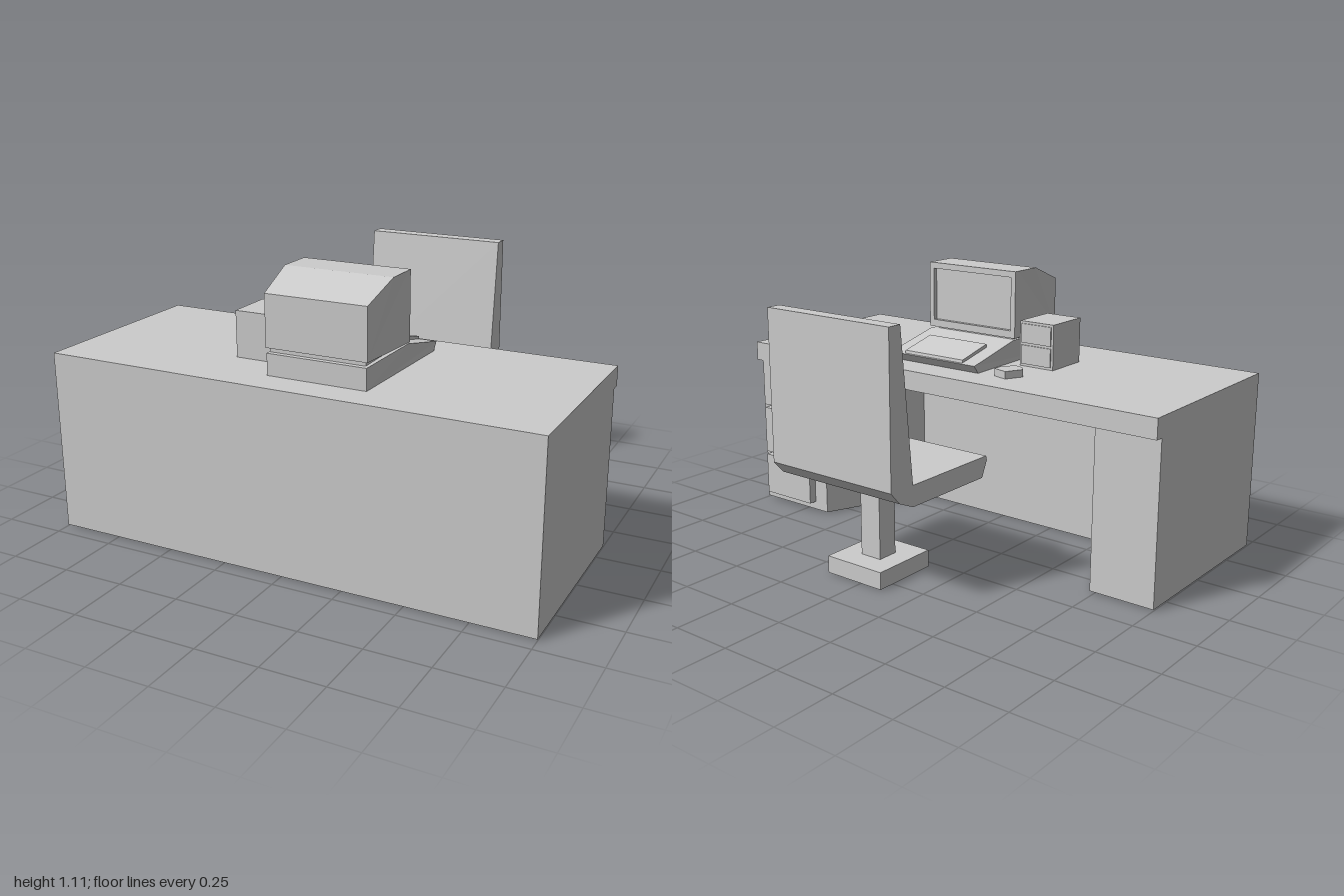
import * as THREE from 'three';

const material = new THREE.MeshStandardMaterial({ color: 0xcccccc, flatShading: true });
const group = new THREE.Group();

function add(parent, name, geometry) {
  const mesh = new THREE.Mesh(geometry, material);
  mesh.name = name;
  parent.add(mesh);
  return mesh;
}

// Box given by its extents
function box(parent, name, [x0, x1], [y0, y1], [z0, z1]) {
  const g = new THREE.BoxGeometry(x1 - x0, y1 - y0, z1 - z0);
  g.translate((x0 + x1) / 2, (y0 + y1) / 2, (z0 + z1) / 2);
  return add(parent, name, g);
}

const shapeOf = (points) => new THREE.Shape(points.map(([a, b]) => new THREE.Vector2(a, b)));

// Side profile of [z, y] points, extended across x
function profile(points, x0, x1) {
  const g = new THREE.ExtrudeGeometry(shapeOf(points), { depth: x1 - x0, bevelEnabled: false });
  return g.rotateY(-Math.PI / 2).translate(x1, 0, 0);
}

// Floor plan of [x, z] points, raised from y0 to y1
function plan(points, y0, y1) {
  const shape = shapeOf(points.map(([x, z]) => [x, -z]));
  const g = new THREE.ExtrudeGeometry(shape, { depth: y1 - y0, bevelEnabled: false });
  return g.rotateX(-Math.PI / 2).translate(0, y0, 0);
}

// Narrow a geometry about x = cx between z0 and z1
function taper(g, cx, z0, z1, amount) {
  const p = g.attributes.position;
  for (let i = 0; i < p.count; i++) {
    const t = THREE.MathUtils.clamp((p.getZ(i) - z0) / (z1 - z0), 0, 1);
    p.setX(i, cx + (p.getX(i) - cx) * (1 - amount * t));
  }
  g.computeVertexNormals();
  return g;
}

function buildDesk() {
  const desk = new THREE.Group();
  desk.name = 'desk';
  const low = 0.005, under = 0.655;
  box(desk, 'deskTop', [-1, 1], [under, 0.735], [-0.135, 0.69]);
  box(desk, 'frontPanel', [-1, 1], [low, under], [0.68, 0.69]);
  box(desk, 'rightPedestal', [-1, -0.73], [low, under], [-0.1, 0.68]);
  add(desk, 'drawerPedestal', plan([[1, -0.1], [0.63, -0.1], [0.43, 0.68], [1, 0.68]], low, under));
  // Angled walls and rear panel around the knee space
  add(desk, 'kneeWalls', plan([
    [0.63, -0.1], [0.44, 0.35], [-0.52, 0.35], [-0.73, -0.1],
    [-0.735, -0.09], [-0.53, 0.36], [0.45, 0.36], [0.635, -0.09],
  ], low, under));
  for (const y of [[0.04, 0.22], [0.235, 0.44], [0.455, 0.655]]) {
    box(desk, 'drawer', [0.7, 0.965], y, [-0.135, -0.1]);
  }
  return desk;
}

function buildChair() {
  const chair = new THREE.Group();
  chair.name = 'chair';
  add(chair, 'seatAndBackrest', profile([
    [-0.13, 0.453], [-0.125, 0.435], [-0.155, 0.37], [-0.57, 0.37], [-0.645, 0.403],
    [-0.69, 0.453], [-0.69, 1.05], [-0.63, 1.05], [-0.57, 0.453],
  ], -0.265, 0.325));
  box(chair, 'post', [-0.015, 0.08], [0.07, 0.375], [-0.475, -0.385]);
  box(chair, 'foot', [-0.1, 0.17], [0, 0.07], [-0.57, -0.285]);
  return chair;
}

function buildComputer() {
  const computer = new THREE.Group();
  computer.name = 'computer';
  const cx = 0.09;
  // Case with the sloping keyboard deck
  add(computer, 'case', taper(profile([
    [0.56, 0.735], [0.56, 0.82], [0.24, 0.827], [-0.025, 0.768], [0, 0.735],
  ], cx - 0.216, cx + 0.216), cx, 0.24, 0.56, 0.06));
  add(computer, 'keyboard', profile([
    [0.145, 0.8], [0.145, 0.82], [-0.015, 0.782], [-0.018, 0.765],
  ], -0.06, 0.235));
  box(computer, 'monitorNeck', [-0.11, 0.28], [0.815, 0.845], [0.26, 0.54]);
  // Monitor shell, narrowing away from the screen
  add(computer, 'monitor', taper(profile([
    [0.56, 0.84], [0.56, 1.043], [0.385, 1.11], [0.258, 1.11], [0.258, 0.835],
  ], cx - 0.222, cx + 0.222), cx, 0.385, 0.56, 0.07));
  // Bezel around the recessed screen
  const bezel = shapeOf([[-0.132, 0.835], [0.312, 0.835], [0.312, 1.11], [-0.132, 1.11]]);
  bezel.holes.push(shapeOf([[-0.11, 0.865], [-0.11, 1.085], [0.29, 1.085], [0.29, 0.865]]));
  const bezelGeometry = new THREE.ExtrudeGeometry(bezel, { depth: 0.018, bevelEnabled: false });
  add(computer, 'screenBezel', bezelGeometry.translate(0, 0, 0.24));
  return computer;
}

function buildAccessories() {
  const items = new THREE.Group();
  items.name = 'accessories';
  box(items, 'driveBox', [-0.335, -0.175], [0.735, 0.92], [0.218, 0.415]);
  for (const y of [[0.745, 0.822], [0.832, 0.91]]) {
    box(items, 'drivePanel', [-0.325, -0.185], y, [0.213, 0.22]);
  }
  add(items, 'mouse', plan([
    [-0.265, -0.01], [-0.2, 0.008], [-0.2, 0.045], [-0.235, 0.1], [-0.275, 0.09], [-0.3, 0.06],
  ], 0.735, 0.765));
  return items;
}

export function createModel() {
  group.clear();
  group.name = 'officeDesk';
  group.add(buildDesk(), buildChair(), buildComputer(), buildAccessories());
  return group;
}
